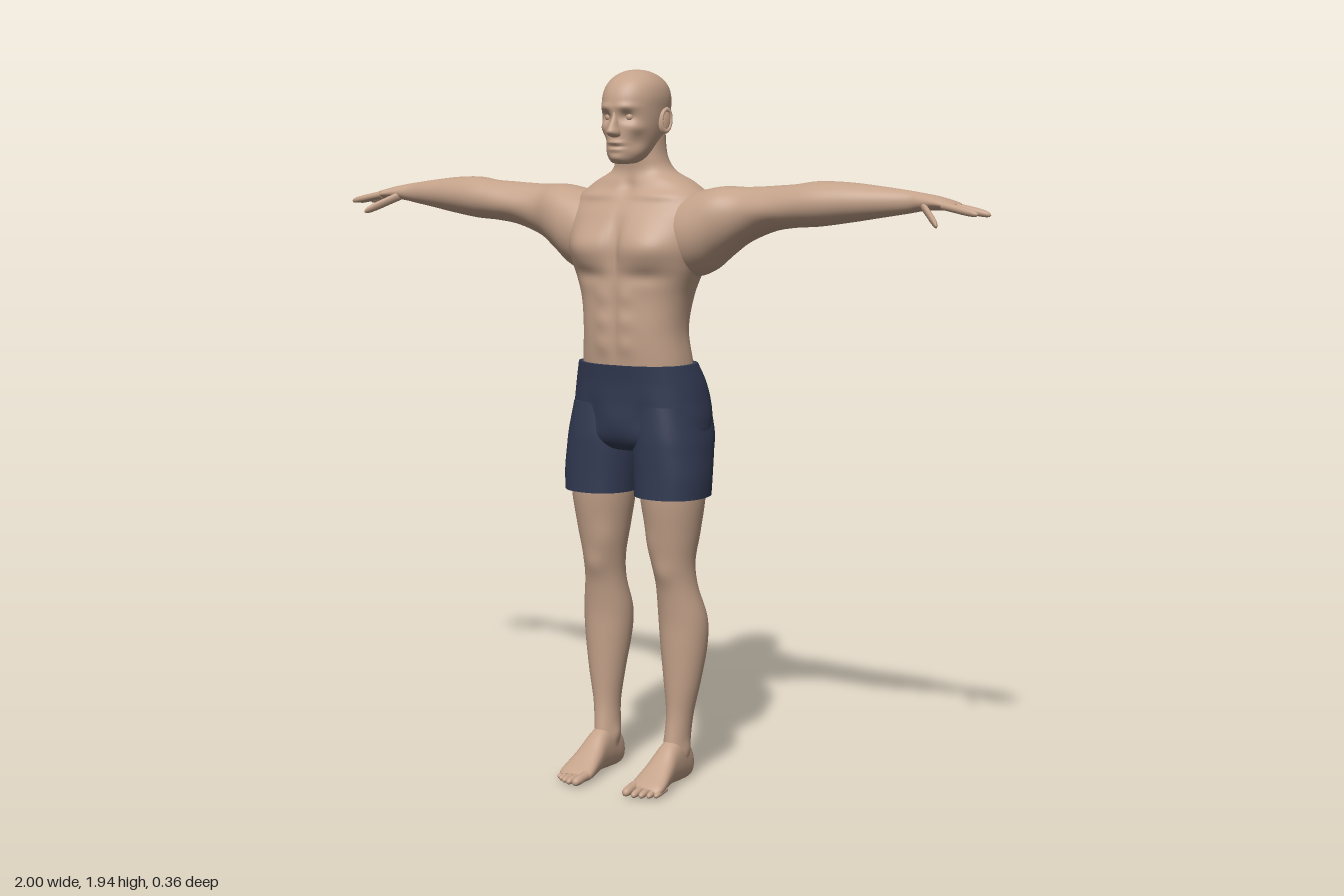
import * as THREE from 'three';

const SIDES = 64;

// Smooth interpolation between cross-section stations
function sample(rows, u) {
  const n = rows.length - 1, i = Math.min(n - 1, Math.floor(u * n)), f = u * n - i;
  const at = (k) => rows[Math.max(0, Math.min(n, k))];
  const [p, q, r, s] = [at(i - 1), at(i), at(i + 1), at(i + 2)];
  return q.map((v, k) => v + 0.5 * f * (r[k] - p[k]
    + f * (2 * p[k] - 5 * v + 4 * r[k] - s[k] + f * (3 * (v - r[k]) + s[k] - p[k]))));
}

// Loft along an axis. Stations are [t, a0, a1, b0, b1], with (a, b) being
// (x, z) along y, (z, y) along x and (y, x) along z.
// Muscles are [x, y, z, rx, ry, rz, amount], pushed outward, mirrored over x.
function loft(axis, rows, { power = 2, muscles = [], steps = 6, sides = SIDES } = {}) {
  const place = { y: (t, a, b) => [a, t, b], x: (t, a, b) => [t, b, a], z: (t, a, b) => [b, a, t] }[axis];
  if (rows[0][0] > rows[rows.length - 1][0]) rows = [...rows].reverse();
  const pos = [], idx = [], count = (rows.length - 1) * steps;
  const centres = [];
  for (let i = 0; i <= count; i++) {
    const [t, a0, a1, b0, b1] = sample(rows, i / count);
    const ca = (a0 + a1) / 2, cb = (b0 + b1) / 2;
    centres.push(place(t, ca, cb));
    for (let j = 0; j < sides; j++) {
      const w = (j / sides) * Math.PI * 2, c = Math.cos(w), s = Math.sin(w);
      let a = Math.sign(c) * Math.abs(c) ** (2 / power) * (a1 - a0) / 2;
      let b = Math.sign(s) * Math.abs(s) ** (2 / power) * (b1 - b0) / 2;
      const p = place(t, ca + a, cb + b), len = Math.hypot(a, b) || 1;
      let push = 0;
      for (const m of muscles) {
        const d = ((Math.abs(p[0]) - m[0]) / m[3]) ** 2 + ((p[1] - m[1]) / m[4]) ** 2 + ((p[2] - m[2]) / m[5]) ** 2;
        push += m[6] * Math.exp(-d);
      }
      a += (a / len) * push;
      b += (b / len) * push;
      pos.push(...place(t, ca + a, cb + b));
    }
  }
  for (let i = 0; i < count; i++) for (let j = 0; j < sides; j++) {
    const k = (j + 1) % sides, a = i * sides, b = a + sides;
    idx.push(a + j, b + j, b + k, a + j, b + k, a + k);
  }
  // End caps with their own vertices, so hems stay crisp
  for (const end of [0, count]) {
    const base = pos.length / 3;
    pos.push(...pos.slice(end * sides * 3, (end + 1) * sides * 3), ...centres[end]);
    for (let j = 0; j < sides; j++) {
      const k = (j + 1) % sides;
      idx.push(base + sides, base + (end ? k : j), base + (end ? j : k));
    }
  }
  const g = new THREE.BufferGeometry();
  g.setAttribute('position', new THREE.Float32BufferAttribute(pos, 3));
  g.setIndex(idx);
  g.computeVertexNormals();
  return g;
}

// Rounded finger or toe between two [t, a, b] points
function digit(axis, from, to, r) {
  const rows = [[0, 1], [0.35, 0.95], [0.6, 0.95], [0.85, 0.8], [0.96, 0.5], [1, 0.05]].map(([u, k]) => {
    const [t, a, b] = from.map((v, i) => v + (to[i] - v) * u);
    return [t, a - r * k, a + r * k, b - r * k, b + r * k];
  });
  return loft(axis, rows, { steps: 3, sides: 16 });
}

function mirrored(geometry) {
  const g = geometry.clone().scale(-1, 1, 1), i = g.index.array;
  for (let k = 0; k < i.length; k += 3) [i[k], i[k + 1]] = [i[k + 1], i[k]];
  return g;
}

const symmetric = (rows) => rows.map(([y, w, back, front]) => [y, -w, w, back, front]);

export function createModel() {
  const model = new THREE.Group();
  model.name = 'standingMan';
  const skin = new THREE.MeshStandardMaterial({ color: 0xc4a28a });
  skin.name = 'skin';
  const navy = new THREE.MeshStandardMaterial({ color: 0x323a52 });
  navy.name = 'navyCloth';

  const add = (name, geometry, material = skin) => {
    const mesh = new THREE.Mesh(geometry, material);
    mesh.name = name;
    model.add(mesh);
  };
  const pair = (name, geometry, material) => {
    add('left' + name, geometry, material);
    add('right' + name, mirrored(geometry), material);
  };

  // Torso and neck
  add('torso', loft('y', symmetric([
    [1.08, 0.16, -0.14, 0.085], [1.16, 0.155, -0.128, 0.098], [1.25, 0.146, -0.118, 0.106],
    [1.34, 0.158, -0.132, 0.104], [1.42, 0.188, -0.148, 0.108], [1.48, 0.205, -0.156, 0.108],
    [1.55, 0.21, -0.157, 0.082], [1.6, 0.195, -0.148, 0.05], [1.64, 0.145, -0.132, 0.032],
    [1.67, 0.09, -0.112, 0.022], [1.71, 0.069, -0.095, 0.026], [1.77, 0.064, -0.09, 0.03],
  ]), {
    power: 2.3, steps: 9, sides: 112, muscles: [
      [0.09, 1.47, 0.1, 0.065, 0.055, 0.06, 0.02],    // chest
      [0, 1.48, 0.11, 0.016, 0.08, 0.05, -0.016],     // breastbone
      [0.09, 1.395, 0.1, 0.07, 0.02, 0.05, -0.008],   // below the chest
      [0, 1.27, 0.11, 0.012, 0.1, 0.05, -0.006],      // belly line
      [0.035, 1.34, 0.11, 0.024, 0.025, 0.04, 0.005], // belly muscles
      [0.035, 1.275, 0.11, 0.024, 0.025, 0.04, 0.005],
      [0.035, 1.21, 0.11, 0.024, 0.025, 0.04, 0.005],
      [0, 1.36, -0.14, 0.024, 0.2, 0.05, -0.022],     // spine
      [0.1, 1.5, -0.15, 0.06, 0.08, 0.05, 0.014],     // shoulder blades
      [0.1, 1.605, 0.04, 0.08, 0.014, 0.04, 0.009],   // collar bones
      [0, 1.63, 0.04, 0.02, 0.025, 0.03, -0.01],      // throat hollow
    ],
  }));

  // Head
  add('head', loft('y', symmetric([
    [1.688, 0.012, 0.045, 0.07], [1.693, 0.034, 0.01, 0.085], [1.715, 0.053, -0.04, 0.095],
    [1.75, 0.066, -0.08, 0.097], [1.79, 0.075, -0.105, 0.099], [1.83, 0.079, -0.118, 0.102],
    [1.865, 0.08, -0.118, 0.098], [1.895, 0.072, -0.105, 0.082], [1.918, 0.053, -0.077, 0.055],
    [1.931, 0.028, -0.042, 0.024], [1.935, 0.003, -0.01, -0.004],
  ]), {
    power: 2.15, sides: 128, steps: 8, muscles: [
      [0.032, 1.81, 0.09, 0.018, 0.014, 0.04, -0.013],  // eye sockets
      [0.03, 1.836, 0.09, 0.028, 0.009, 0.04, 0.005],   // brows
      [0.05, 1.782, 0.07, 0.018, 0.014, 0.03, 0.005],   // cheekbones
      [0.05, 1.745, 0.07, 0.018, 0.02, 0.03, -0.005],   // cheeks
      [0, 1.743, 0.1, 0.022, 0.006, 0.03, 0.007],       // lips
      [0, 1.734, 0.1, 0.026, 0.003, 0.03, -0.006],
      [0, 1.726, 0.1, 0.02, 0.006, 0.03, 0.005],
      [0, 1.703, 0.09, 0.02, 0.012, 0.03, 0.006],       // chin
    ],
  }));
  add('nose', loft('y', symmetric([
    [1.832, 0.006, 0.07, 0.1], [1.81, 0.009, 0.07, 0.106], [1.788, 0.012, 0.07, 0.119],
    [1.772, 0.017, 0.07, 0.127], [1.762, 0.016, 0.07, 0.118], [1.757, 0.008, 0.07, 0.102],
  ]), { sides: 32 }));
  pair('Eye', new THREE.SphereGeometry(0.012, 20, 14).translate(0.032, 1.81, 0.073));
  pair('Ear', new THREE.SphereGeometry(1, 24, 16).scale(0.009, 0.033, 0.019)
    .rotateY(-0.35).rotateX(-0.15).translate(0.082, 1.8, -0.016));
  pair('EarRim', new THREE.TorusGeometry(0.021, 0.005, 8, 28).scale(0.75, 1.35, 1)
    .rotateY(Math.PI / 2 - 0.35).rotateX(-0.15).translate(0.087, 1.802, -0.018));

  // Arms with palms
  pair('Arm', loft('x', [
    [0.1, -0.135, 0.045, 1.44, 1.59], [0.16, -0.15, 0.062, 1.395, 1.612], [0.21, -0.152, 0.06, 1.405, 1.624],
    [0.26, -0.142, 0.047, 1.443, 1.631], [0.32, -0.124, 0.028, 1.485, 1.63], [0.4, -0.108, 0.028, 1.516, 1.634],
    [0.47, -0.099, 0.038, 1.528, 1.64], [0.54, -0.099, 0.04, 1.533, 1.648], [0.62, -0.096, 0.026, 1.544, 1.646],
    [0.7, -0.084, 0.005, 1.557, 1.638], [0.78, -0.071, -0.015, 1.57, 1.628], [0.82, -0.072, -0.014, 1.577, 1.622],
    [0.86, -0.083, -0.008, 1.58, 1.615], [0.9, -0.087, -0.001, 1.58, 1.604], [0.915, -0.075, -0.012, 1.586, 1.597],
  ], {
    muscles: [
      [0.25, 1.6, 0.03, 0.06, 0.05, 0.05, 0.008],    // shoulder
      [0.4, 1.57, 0.03, 0.06, 0.03, 0.03, 0.006],    // upper arm
      [0.33, 1.53, -0.11, 0.06, 0.04, 0.04, 0.007],
      [0.48, 1.63, -0.06, 0.03, 0.03, 0.03, -0.004], // elbow crease
    ],
  }));

  // Fingers as [x, z, y]
  [
    ['Thumb', [0.825, -0.03, 1.592], [0.9, 0.048, 1.545], 0.013],
    ['IndexFinger', [0.885, -0.012, 1.593], [0.985, 0.0, 1.573], 0.0105],
    ['MiddleFinger', [0.885, -0.034, 1.594], [1.0, -0.045, 1.571], 0.0105],
    ['RingFinger', [0.885, -0.056, 1.593], [0.983, -0.08, 1.571], 0.01],
    ['LittleFinger', [0.875, -0.072, 1.592], [0.93, -0.104, 1.574], 0.009],
  ].forEach(([name, from, to, r]) => pair(name, digit('x', from, to, r)));

  // Shorts: hips and two legs
  add('shortsHips', loft('y', symmetric([
    [1.158, 0.168, -0.138, 0.106], [1.11, 0.183, -0.16, 0.1], [1.06, 0.193, -0.173, 0.098],
    [1.01, 0.2, -0.17, 0.095], [0.96, 0.195, -0.145, 0.088], [0.93, 0.15, -0.1, 0.065], [0.92, 0.08, -0.05, 0.03],
  ]), {
    power: 2.3, sides: 96, steps: 8, muscles: [
      [0, 1.02, -0.17, 0.022, 0.09, 0.06, -0.034],   // seat crease
      [0.09, 1.03, -0.16, 0.06, 0.06, 0.05, 0.007],  // seat
      [0, 1.0, 0.09, 0.04, 0.04, 0.04, 0.006],
      [0.08, 1.02, 0.09, 0.025, 0.05, 0.04, -0.006], // groin folds
    ],
  }), navy);
  pair('ShortsLeg', loft('y', [
    [1.05, 0.015, 0.185, -0.155, 0.085], [0.97, 0.006, 0.203, -0.157, 0.091], [0.92, 0.005, 0.209, -0.142, 0.091],
    [0.86, 0.009, 0.214, -0.124, 0.09], [0.803, 0.013, 0.212, -0.119, 0.09],
  ], { power: 2.25 }), navy);

  // Legs
  pair('Leg', loft('y', [
    [0.9, 0.02, 0.2, -0.11, 0.08], [0.8, 0.024, 0.199, -0.108, 0.076], [0.7, 0.04, 0.185, -0.094, 0.059],
    [0.62, 0.053, 0.172, -0.08, 0.043], [0.55, 0.059, 0.174, -0.088, 0.026], [0.46, 0.054, 0.191, -0.117, 0.012],
    [0.38, 0.059, 0.189, -0.119, 0.008], [0.28, 0.073, 0.174, -0.101, 0.004], [0.19, 0.084, 0.156, -0.086, 0.001],
    [0.11, 0.082, 0.148, -0.082, 0.01], [0.04, 0.085, 0.144, -0.08, 0.02],
  ], {
    muscles: [
      [0.11, 0.59, 0.04, 0.03, 0.035, 0.03, 0.006],    // kneecap
      [0.075, 0.67, 0.04, 0.03, 0.05, 0.04, 0.005],    // inner thigh
      [0.09, 0.44, -0.11, 0.03, 0.07, 0.04, 0.005],    // calf
      [0.085, 0.1, -0.035, 0.02, 0.02, 0.02, 0.006],   // ankle bones
      [0.148, 0.09, -0.04, 0.02, 0.02, 0.02, 0.006],
    ],
  }));

  // Feet, with stations as [z, y0, y1, x0, x1]
  pair('Foot', loft('z', [
    [-0.099, 0.025, 0.04, 0.108, 0.12], [-0.094, 0.01, 0.065, 0.096, 0.133], [-0.075, 0.001, 0.1, 0.087, 0.143],
    [-0.03, 0.001, 0.128, 0.083, 0.148], [0.015, 0.004, 0.115, 0.08, 0.151], [0.06, 0.003, 0.08, 0.073, 0.158],
    [0.1, 0, 0.052, 0.067, 0.165], [0.125, 0.001, 0.036, 0.067, 0.165], [0.138, 0.006, 0.024, 0.075, 0.155],
  ], { power: 2.3 }));

  // Toes, from the inside out
  [[0.08, 0.18, 0.0135], [0.104, 0.177, 0.0105], [0.123, 0.169, 0.01], [0.141, 0.158, 0.0095], [0.156, 0.145, 0.009]]
    .forEach(([x, tip, r], i) => pair('Toe' + (i + 1),
      digit('z', [tip - 0.055, r + 0.008, x], [tip, r + 0.001, x + 0.002], r)));

  return model;
}
